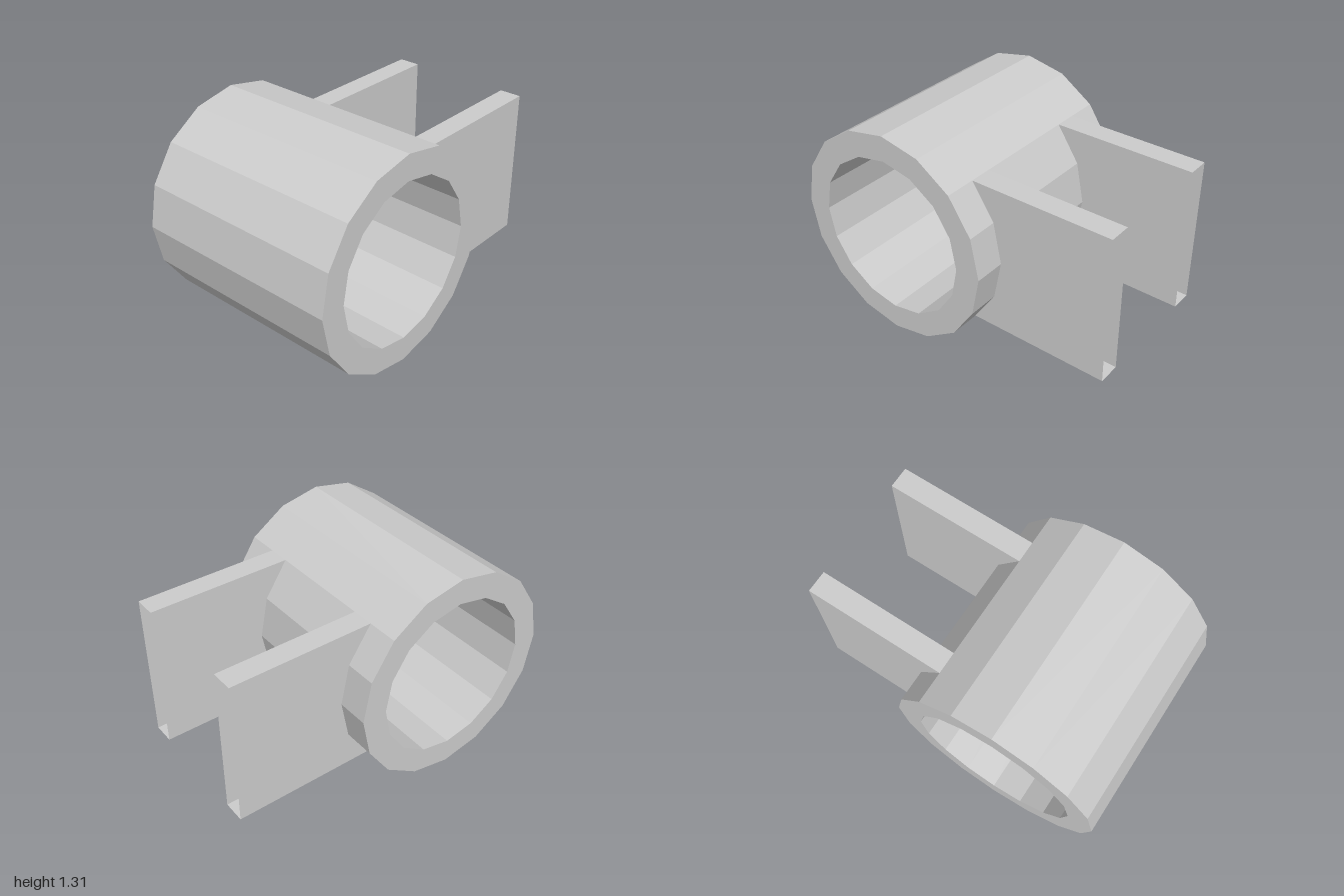
import * as THREE from 'three';

const R = 0.656, INNER = 0.5, LENGTH = 1.312, SIDES = 16;
const CX = -0.344, CY = 0.656;         // tube axis
const PLATE_IN = 0.327, PLATE_OUT = 0.463, PLATE_END = 1 - CX;

export function createModel() {
  const model = new THREE.Group();
  const material = new THREE.MeshStandardMaterial({
    color: 0xcccccc, flatShading: true, side: THREE.DoubleSide,
  });

  const add = (parent, name, geometry, z = 0) => {
    const mesh = new THREE.Mesh(geometry, material);
    mesh.name = name;
    mesh.position.z = z;
    parent.add(mesh);
    return mesh;
  };

  // Open faceted wall along z; angles start at the bottom and run towards +x
  const wall = (radius, length, sides, start, sweep) =>
    new THREE.CylinderGeometry(radius, radius, length, sides, 1, true, start, sweep).rotateX(Math.PI / 2);

  // Tube: inner wall, end rings and the outer wall away from the plates
  const tube = new THREE.Group();
  tube.name = 'tube';
  const inner = wall(INNER, LENGTH, SIDES, 0, Math.PI * 2);
  const idx = inner.index.array;
  for (let i = 0; i < idx.length; i += 3) [idx[i], idx[i + 1]] = [idx[i + 1], idx[i]];
  add(tube, 'innerWall', inner);
  add(tube, 'outerWall', wall(R, LENGTH, SIDES * 3 / 4, Math.PI * 3 / 4, Math.PI * 3 / 2));
  add(tube, 'frontRing', new THREE.RingGeometry(INNER, R, SIDES), LENGTH / 2);
  add(tube, 'backRing', new THREE.RingGeometry(INNER, R, SIDES).rotateY(Math.PI), -LENGTH / 2);

  // Outer wall strips beside and between the hollow plates
  const strips = [[-LENGTH / 2, -PLATE_OUT], [-PLATE_IN, PLATE_IN], [PLATE_OUT, LENGTH / 2]];
  for (const [a, b] of strips) {
    add(tube, 'outerWallStrip', wall(R, b - a, SIDES / 4, Math.PI / 4, Math.PI / 2), (a + b) / 2);
  }
  model.add(tube);

  // Plate outline: follows the tube facets, then runs out to the open end
  const h = R * Math.SQRT1_2;
  const outline = [new THREE.Vector2(PLATE_END, -h), new THREE.Vector2(PLATE_END, h)];
  for (let i = 2; i >= -2; i--) {
    const a = i * Math.PI * 2 / SIDES;
    outline.push(new THREE.Vector2(R * Math.cos(a), R * Math.sin(a)));
  }
  const side = new THREE.ShapeGeometry(new THREE.Shape(outline));
  const thick = PLATE_OUT - PLATE_IN;
  const cover = new THREE.PlaneGeometry(PLATE_END - h, thick)
    .rotateX(-Math.PI / 2).translate((PLATE_END + h) / 2, h, 0);

  // Two hollow plates, open at the far end
  for (const s of [1, -1]) {
    const plate = new THREE.Group();
    plate.name = s > 0 ? 'frontPlate' : 'backPlate';
    plate.position.z = s * (PLATE_IN + PLATE_OUT) / 2;
    add(plate, 'plateFrontFace', side, thick / 2);
    add(plate, 'plateBackFace', side.clone().rotateX(Math.PI), -thick / 2);
    add(plate, 'plateTop', cover);
    add(plate, 'plateBottom', cover.clone().rotateX(Math.PI));
    model.add(plate);
  }

  model.children.forEach((part) => { part.position.x = CX; part.position.y = CY; });
  return model;
}
